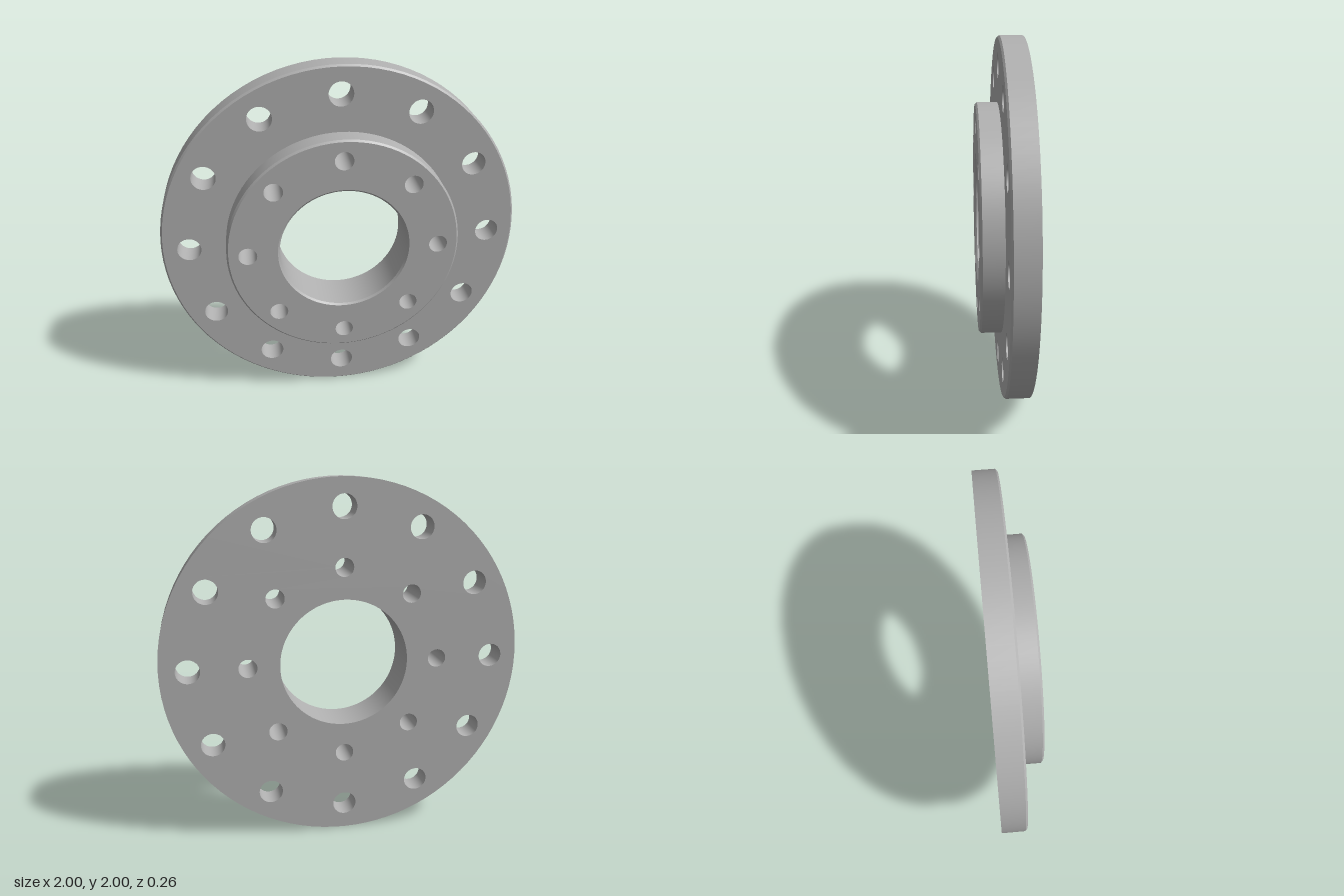
import * as THREE from 'three';

const SEG = 96;
const BACK = -0.128, STEP = 0.007, FRONT = 0.128; // z of the three flat faces
const RIM = 1, BOSS = 0.645, BORE = 0.356, C = 0.01; // radii and chamfer size
const OUTER = { count: 12, pitch: 0.848, radius: 0.066 };
const INNER = { count: 8, pitch: 0.53, radius: 0.051 };

// Evenly spaced hole centres on a pitch circle
function centres({ count, pitch }) {
  return Array.from({ length: count }, (_, i) => {
    const a = Math.PI / 2 + (i / count) * Math.PI * 2;
    return [Math.cos(a) * pitch, Math.sin(a) * pitch];
  });
}

// Turned surface about z; rising z faces outward, falling z faces inward
function turned(r0, z0, r1, z1) {
  const pts = [new THREE.Vector2(r0, z0), new THREE.Vector2(r1, z1)];
  return new THREE.LatheGeometry(pts, SEG).rotateX(Math.PI / 2);
}

// Flat ring pierced by bolt holes
function face(outer, inner, patterns) {
  const shape = new THREE.Shape().absarc(0, 0, outer, 0, Math.PI * 2);
  const cut = (x, y, r) =>
    shape.holes.push(new THREE.Path().absarc(x, y, r, 0, Math.PI * 2, true));
  cut(0, 0, inner);
  for (const p of patterns) for (const [x, y] of centres(p)) cut(x, y, p.radius);
  return new THREE.ShapeGeometry(shape, SEG / 2);
}

export function createModel() {
  const steel = new THREE.MeshStandardMaterial({ color: 0xb0b0b0 });
  steel.name = 'grey steel';
  const group = new THREE.Group();
  group.name = 'flange';
  const part = (name, geometry, x = 0, y = 0, z = 0) => {
    const mesh = new THREE.Mesh(geometry, steel);
    mesh.name = name;
    mesh.position.set(x, y + 1, z);
    group.add(mesh);
  };

  // Flat faces
  part('backFace', face(RIM, BORE, [OUTER, INNER]).rotateY(Math.PI), 0, 0, BACK);
  part('flangeFace', face(RIM - C, BOSS, [OUTER]), 0, 0, STEP);
  part('bossFace', face(BOSS - C, BORE + C, [INNER]), 0, 0, FRONT);

  // Turned walls and chamfers
  part('rim', turned(RIM, BACK, RIM, STEP - C));
  part('rimChamfer', turned(RIM, STEP - C, RIM - C, STEP));
  part('bossWall', turned(BOSS, STEP, BOSS, FRONT - C));
  part('bossChamfer', turned(BOSS, FRONT - C, BOSS - C, FRONT));
  part('boreChamfer', turned(BORE + C, FRONT, BORE, FRONT - C));
  part('boreWall', turned(BORE, FRONT - C, BORE, BACK));

  // Bolt hole walls
  for (const [name, p, top] of [['outerBoltHole', OUTER, STEP], ['innerBoltHole', INNER, FRONT]]) {
    const wall = turned(p.radius, top, p.radius, BACK);
    for (const [x, y] of centres(p)) part(name, wall, x, y);
  }
  return group;
}
